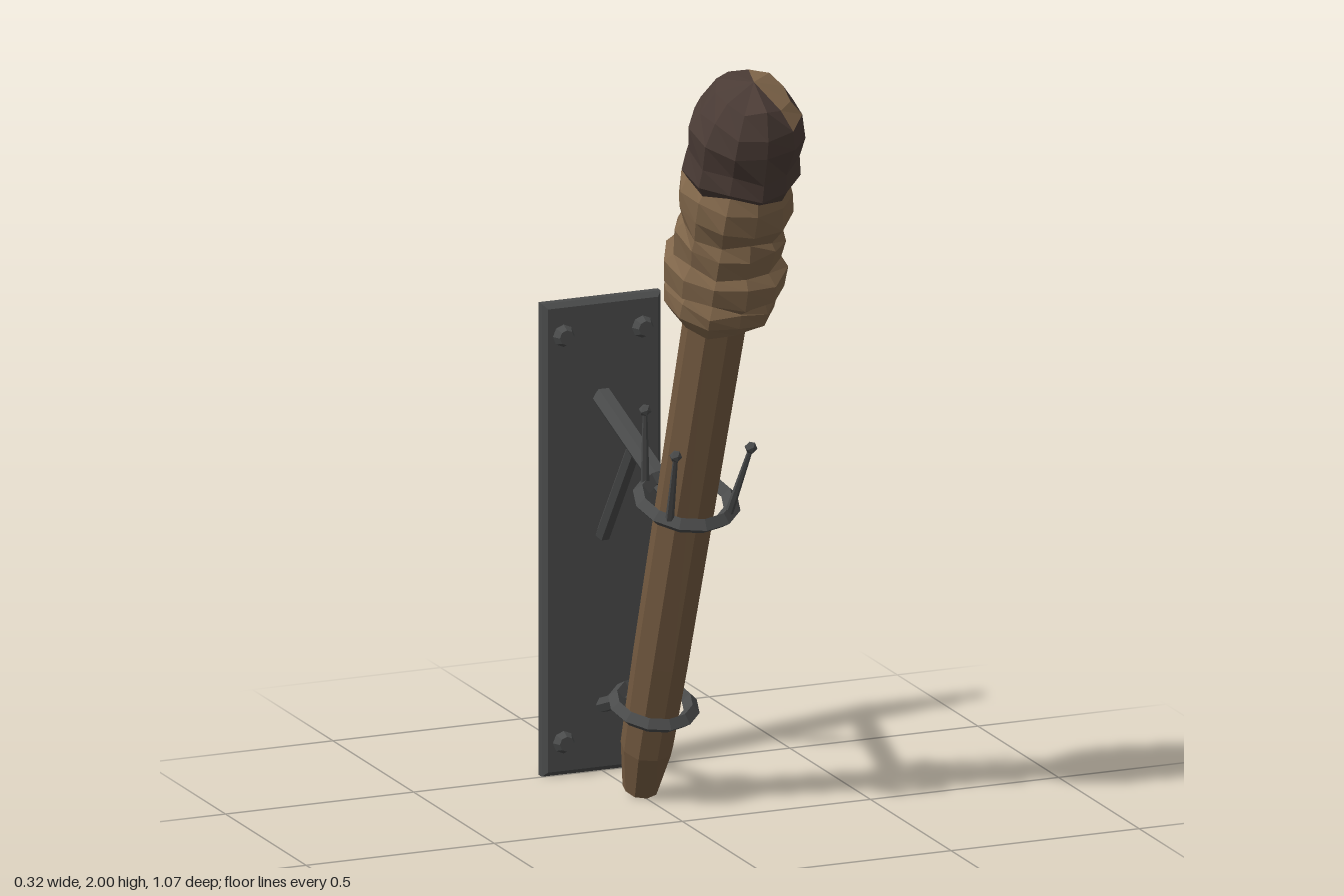
import * as THREE from 'three';

const mat = (name, color) => {
  const m = new THREE.MeshStandardMaterial({ color });
  m.name = name;
  return m;
};

// Faceted copy of a geometry
const flat = (geo) => {
  const g = geo.index ? geo.toNonIndexed() : geo;
  g.computeVertexNormals();
  return g;
};

// Repeatable noise in -1..1
const noise = (a, b, seed) => {
  const s = Math.sin(a * 127.1 + b * 311.7 + seed * 74.7) * 43758.5453;
  return 2 * (s - Math.floor(s)) - 1;
};

// Lathe along y with uneven rings; profile is [radius, height] from bottom to top
function roughLathe(profile, sides, dr, dy, seed) {
  const g = new THREE.LatheGeometry(profile.map(([r, y]) => new THREE.Vector2(r, y)), sides);
  const p = g.attributes.position;
  const n = profile.length;
  for (let i = 0; i <= sides; i++) {
    for (let j = 0; j < n; j++) {
      const [r, y] = profile[j];
      if (r === 0) continue;
      const k = i % sides;
      const a = (k / sides) * Math.PI * 2;
      const rr = r + dr * noise(k, j, seed);
      p.setXYZ(i * n + j, rr * Math.sin(a), y + dy * noise(k, j, seed + 5), rr * Math.cos(a));
    }
  }
  return flat(g);
}

export function createModel() {
  const wood = mat('shaftWood', 0x755b41);
  const cloth = mat('wrapCloth', 0x80664a);
  const char = mat('charredCloth', 0x4b3c36);
  const iron = mat('iron', 0x4a4b4b);
  const model = new THREE.Group();
  model.name = 'wallTorch';

  const add = (parent, name, geo, material) => {
    const m = new THREE.Mesh(geo, material);
    m.name = name;
    parent.add(m);
    return m;
  };

  // Straight rod between two points
  const rod = (parent, name, a, b, r0, r1, sides) => {
    const from = new THREE.Vector3(...a), to = new THREE.Vector3(...b);
    const dir = to.clone().sub(from);
    const geo = flat(new THREE.CylinderGeometry(r1, r0, dir.length(), sides));
    if (sides === 6) geo.rotateY(0);
    const m = add(parent, name, geo, iron);
    m.position.copy(from).add(to).multiplyScalar(0.5);
    m.quaternion.setFromUnitVectors(new THREE.Vector3(0, 1, 0), dir.normalize());
    return m;
  };

  // Bevelled back plate
  const bevel = 0.012, w = 0.158 - bevel, h = 0.6 - bevel;
  const outline = new THREE.Shape([
    new THREE.Vector2(-w, -h), new THREE.Vector2(w, -h),
    new THREE.Vector2(w, h), new THREE.Vector2(-w, h),
  ]);
  const plateGeo = new THREE.ExtrudeGeometry(outline, {
    depth: 0.02, bevelEnabled: true, bevelThickness: bevel, bevelSize: bevel, bevelSegments: 1,
  });
  add(model, 'backPlate', flat(plateGeo), iron).position.set(0, 0.605, -0.523);

  // Corner bolts
  for (const x of [-0.105, 0.105]) {
    for (const y of [0.09, 1.122]) {
      const bolt = flat(new THREE.CylinderGeometry(0.019, 0.029, 0.022, 8).rotateX(Math.PI / 2));
      add(model, 'bolt', bolt, iron).position.set(x, y, -0.481);
    }
  }

  // Bracket arms
  rod(model, 'upperArm', [0, 0.82, -0.095], [0, 0.955, -0.495], 0.027, 0.027, 6).rotateY(Math.PI / 6);
  rod(model, 'strut', [0, 0.885, -0.292], [0, 0.605, -0.492], 0.02, 0.02, 6).rotateY(Math.PI / 6);
  rod(model, 'lowerArm', [0, 0.257, -0.265], [0, 0.172, -0.495], 0.02, 0.02, 6).rotateY(Math.PI / 6);

  // Everything below follows the leaning axis of the torch
  const torch = new THREE.Group();
  torch.name = 'torch';
  torch.position.set(0, 0.017, -0.262);
  torch.rotation.x = THREE.MathUtils.degToRad(19.6);
  model.add(torch);

  // Shaft with a tapered foot
  add(torch, 'shaft', roughLathe([
    [0, -0.004], [0.045, 0.006], [0.066, 0.13], [0.072, 0.4], [0.08, 1.45],
  ], 9, 0.002, 0.002, 1), wood);

  // Cloth wraps, stepping in and out
  add(torch, 'clothWrap', roughLathe([
    [0, 1.425], [0.115, 1.42], [0.138, 1.455], [0.14, 1.49], [0.126, 1.505],
    [0.15, 1.525], [0.15, 1.575], [0.128, 1.6], [0.141, 1.66], [0.126, 1.69],
    [0.142, 1.735], [0.138, 1.79], [0.12, 1.83], [0.11, 1.87],
  ], 11, 0.007, 0.009, 3), cloth);

  // Charred head, with a patch of bare cloth at the crown
  const headProfile = [
    [0.1, 1.86], [0.13, 1.825], [0.146, 1.85], [0.138, 1.9], [0.142, 1.97], [0.131, 2.02],
    [0.092, 2.072], [0, 2.103],
  ];
  const sides = 11, rows = headProfile.length - 1;
  const headGeo = roughLathe(headProfile, sides, 0.007, 0.011, 8);
  // Lathes drop nothing at the crown, so every cell holds two triangles
  for (let i = 0; i < sides; i++) {
    for (let j = 0; j < rows; j++) {
      const bare = (j === rows - 1 && i >= 1 && i <= 4) || (j === rows - 2 && i === 1);
      headGeo.addGroup((i * rows + j) * 6, 6, bare ? 1 : 0);
    }
  }
  add(torch, 'charredHead', headGeo, [char, cloth]);

  // Holding rings
  for (const [name, y, r, tube] of [['upperRing', 0.86, 0.113, 0.021], ['lowerRing', 0.254, 0.094, 0.02]]) {
    const ring = flat(new THREE.TorusGeometry(r, tube, 4, 12).rotateX(Math.PI / 2));
    add(torch, name, ring, iron).position.y = y;
  }

  // Four ball-tipped prongs on the upper ring
  for (const x of [-1, 1]) {
    for (const z of [-1, 1]) {
      rod(torch, 'prong', [x * 0.078, 0.86, z * 0.08], [x * 0.1, 1.07, z * 0.101], 0.011, 0.006, 6);
      const tip = flat(new THREE.IcosahedronGeometry(0.016, 0));
      add(torch, 'prongTip', tip, iron).position.set(x * 0.1, 1.072, z * 0.101);
    }
  }

  return model;
}
